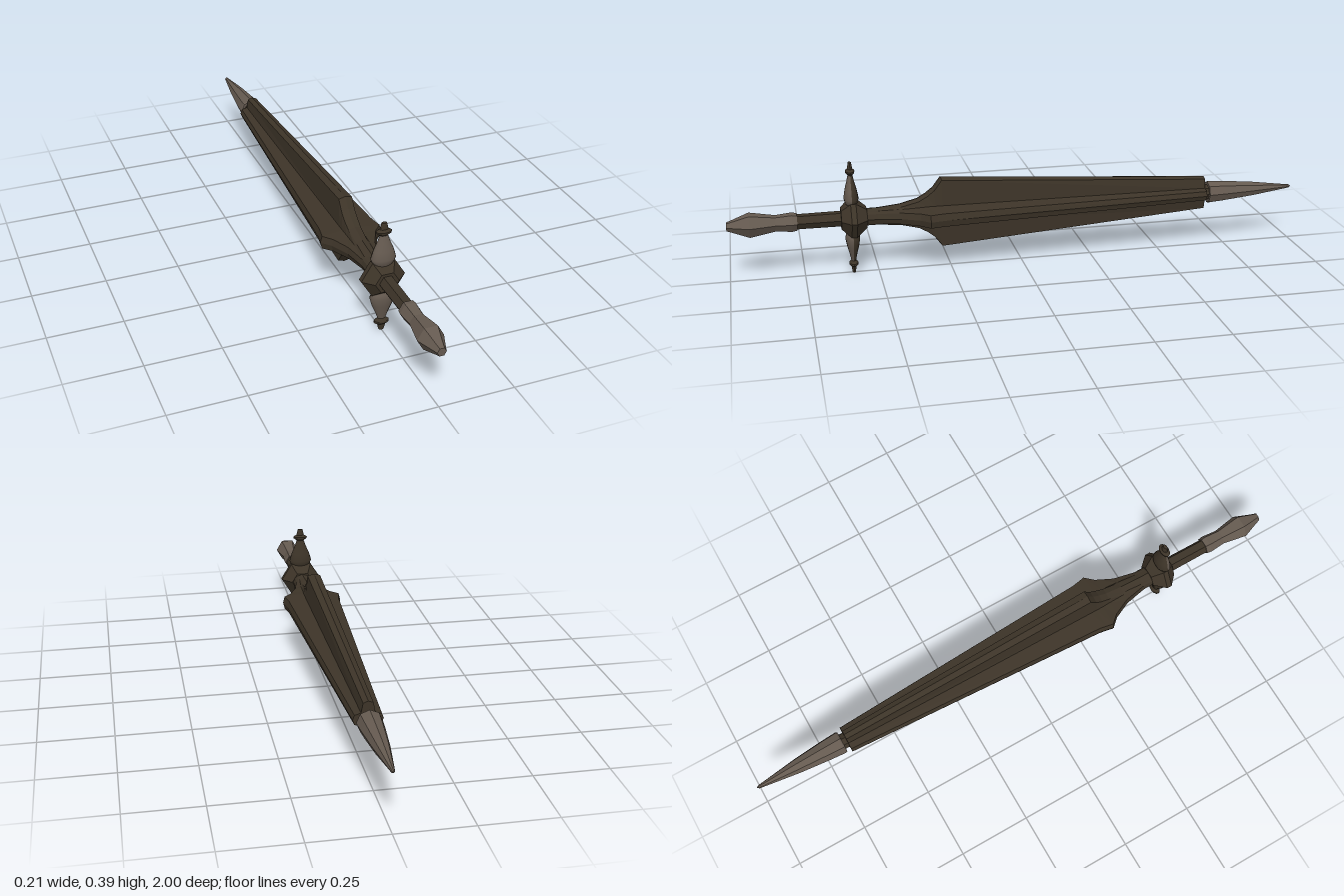
import * as THREE from 'three';

const AXIS = 0.198; // height of the sword's long axis

// Flat-shaded copy of a geometry
function flat(geo) {
  const g = geo.index ? geo.toNonIndexed() : geo;
  g.computeVertexNormals();
  return g;
}

// Faceted part turned around the long axis; profile is [z, radius] with rising z
function turned(profile, sides) {
  const pts = profile.map(([z, r]) => new THREE.Vector2(r, z));
  return flat(new THREE.LatheGeometry(pts, sides, Math.PI / 2).rotateX(Math.PI / 2));
}

// Four-finned section with pointed fin edges, counterclockwise seen from +z
function finSection([z, hx, hy, t, r]) {
  const ring = [];
  for (let q = 0; q < 4; q++) {
    const [a, b] = q % 2 ? [hy, hx] : [hx, hy];
    for (const [u, v] of [[a, 0], [a - 0.006, t], [r, r], [t, b - 0.006]]) {
      const p = [[u, v], [-v, u], [-u, -v], [v, -u]][q];
      ring.push([p[0], p[1], z]);
    }
  }
  return ring;
}

// Skin over sections, closed by a fan at each end
function loft(rings) {
  const pos = [];
  const tri = (a, b, c) => pos.push(...a, ...b, ...c);
  const n = rings[0].length, last = rings.length - 1;
  for (let j = 0; j < n; j++) {
    const k = (j + 1) % n;
    for (let i = 0; i < last; i++) {
      tri(rings[i][j], rings[i][k], rings[i + 1][k]);
      tri(rings[i][j], rings[i + 1][k], rings[i + 1][j]);
    }
    tri([0, 0, rings[0][0][2]], rings[0][k], rings[0][j]);
    tri([0, 0, rings[last][0][2]], rings[last][j], rings[last][k]);
  }
  const g = new THREE.BufferGeometry();
  g.setAttribute('position', new THREE.Float32BufferAttribute(pos, 3));
  return flat(g);
}

export function createModel() {
  const bronze = new THREE.MeshStandardMaterial({ color: 0x3d3428 });
  bronze.name = 'dark bronze';
  const steel = new THREE.MeshStandardMaterial({ color: 0x655a50 });
  steel.name = 'worn steel';

  const model = new THREE.Group();
  model.name = 'sword';
  const add = (name, geo, mat, parent = model) => {
    const mesh = new THREE.Mesh(geo, mat);
    mesh.name = name;
    parent.add(mesh);
    return mesh;
  };

  // Four-finned blade: z, half width, half height, fin half thickness, root
  add('blade', loft([
    [-0.665, 0.048, 0.06, 0.016, 0.022],
    [0.28, 0.098, 0.124, 0.023, 0.03],
    [0.305, 0.102, 0.09, 0.023, 0.03],
    [0.33, 0.107, 0.07, 0.023, 0.03],
    [0.36, 0.08, 0.053, 0.022, 0.028],
    [0.42, 0.052, 0.038, 0.02, 0.026],
    [0.5, 0.036, 0.03, 0.017, 0.023],
    [0.56, 0.036, 0.032, 0.017, 0.023],
  ].map(finSection)), bronze);

  // Spike at the end of the blade
  add('bladeCore', turned([[-0.7, 0.028], [-0.64, 0.028]], 8), bronze);
  add('tip', turned([[-1, 0], [-0.992, 0.006], [-0.85, 0.026], [-0.74, 0.037],
    [-0.685, 0.041], [-0.68, 0.038], [-0.68, 0]], 8), steel);

  // Grip and pommel
  add('grip', turned([[0.58, 0.027], [0.745, 0.026], [0.775, 0.026]], 6), bronze);
  add('pommel', turned([[0.768, 0], [0.768, 0.03], [0.785, 0.033], [0.84, 0.028],
    [0.925, 0.043], [0.985, 0.02], [1, 0.015], [1, 0]], 6), steel);

  // Crossguard hub
  add('guardHub', turned([[0.535, 0], [0.535, 0.04], [0.572, 0.074], [0.59, 0.074],
    [0.622, 0.04], [0.622, 0]], 6).scale(1, 0.93, 1), bronze);

  // Flattened guard arms, steel in front and bronze behind, with collared ends
  const v = (list) => list.map(([r, y]) => new THREE.Vector2(r, y));
  const armProfile = v([[0.024, 0.04], [0.036, 0.057], [0.042, 0.072],
    [0.034, 0.1], [0.021, 0.13], [0.013, 0.153]]);
  const endProfile = v([[0.013, 0.152], [0.025, 0.161], [0.026, 0.167],
    [0.014, 0.174], [0.013, 0.18], [0.009, 0.196], [0, 0.197]]);
  for (const [name, turn] of [['upperGuardArm', 0], ['lowerGuardArm', Math.PI]]) {
    const arm = new THREE.Group();
    arm.name = name;
    arm.position.z = 0.585;
    arm.rotation.z = turn;
    arm.scale.z = 0.6;
    add('armFront', new THREE.LatheGeometry(armProfile, 8, -Math.PI / 2, Math.PI), steel, arm);
    add('armBack', new THREE.LatheGeometry(armProfile, 8, Math.PI / 2, Math.PI), bronze, arm);
    add('armEnd', flat(new THREE.LatheGeometry(endProfile, 12)), bronze, arm);
    model.add(arm);
  }

  model.children.forEach((part) => { part.position.y = AXIS; });
  return model;
}
